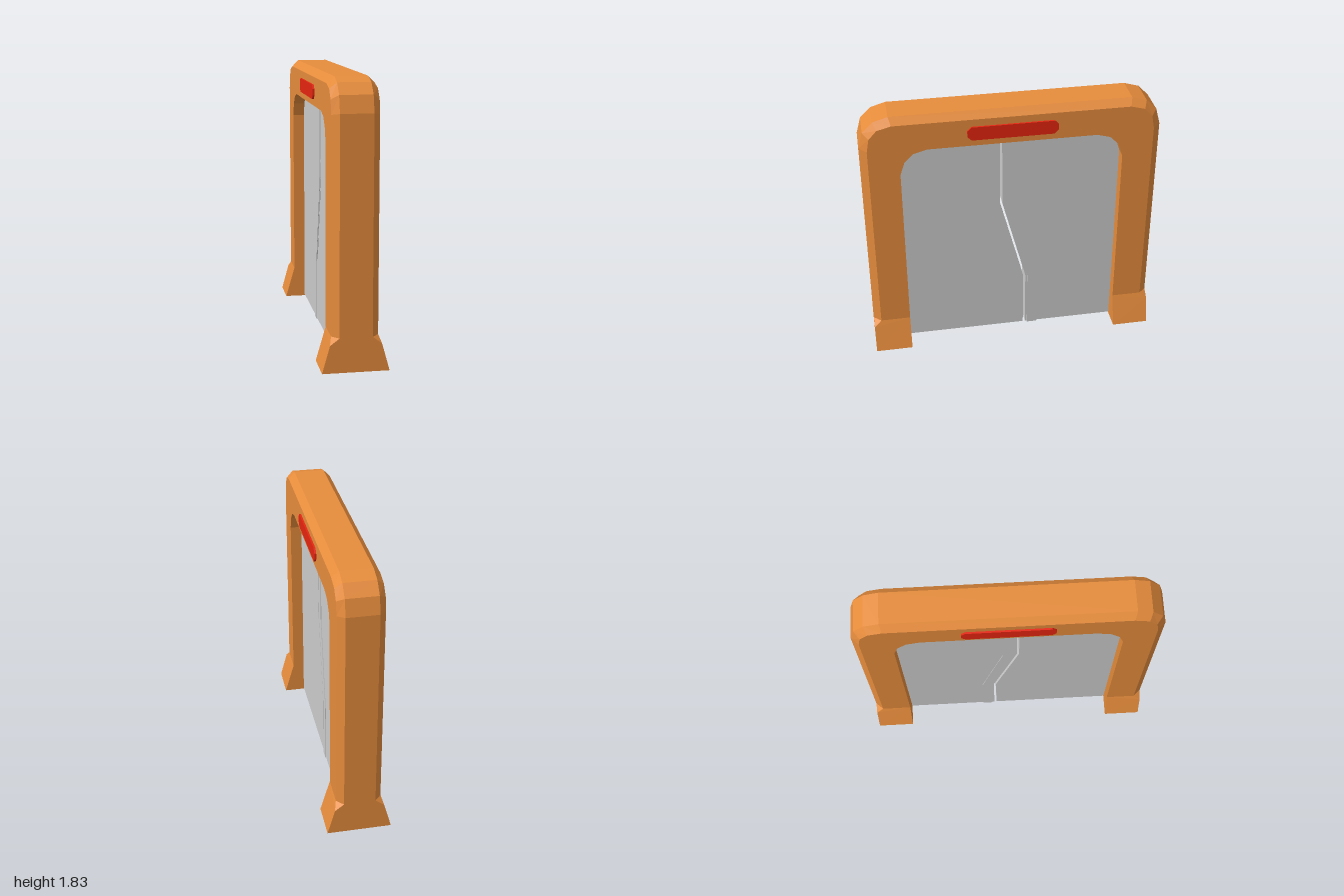
import * as THREE from 'three';

const material = (color) =>
  new THREE.MeshStandardMaterial({ color, flatShading: true, side: THREE.DoubleSide });

// Skin a list of equal-length cross-sections (arrays of [x, y, z]), skipping collapsed triangles
function loft(rows, closed) {
  const pos = [];
  const tri = (...points) => {
    const [a, b, c] = points.map((p) => new THREE.Vector3(...p));
    if (b.clone().sub(a).cross(c.clone().sub(a)).length() > 1e-7) pos.push(...points.flat());
  };
  const n = rows[0].length;
  for (let i = 0; i < rows.length - 1; i++) {
    for (let j = 0; j < (closed ? n : n - 1); j++) {
      const k = (j + 1) % n;
      tri(rows[i][j], rows[i + 1][j], rows[i][k]);
      tri(rows[i][k], rows[i + 1][j], rows[i + 1][k]);
    }
  }
  const geometry = new THREE.BufferGeometry();
  geometry.setAttribute('position', new THREE.Float32BufferAttribute(pos, 3));
  geometry.computeVertexNormals();
  return geometry;
}

export function createModel() {
  const group = new THREE.Group();
  const orange = material(0xe68c3c);
  const grey = material(0xcccccc);
  const red = material(0xe62510);
  const add = (name, geometry, mat) => {
    const mesh = new THREE.Mesh(geometry, mat);
    mesh.name = name;
    group.add(mesh);
    return mesh;
  };

  // Frame: each section holds the inner corner, bevel start and bevel end as [x, y, z]
  const half = [
    [[0.215, 0, 0.745], [0.215, 0, 1], [0.215, 0, 1]], // flared foot
    [[0.15, 0.225, 0.745], [0.165, 0.18, 1], [0.165, 0.18, 1]],
    [[0.15, 0.225, 0.745], [0.15, 0.225, 0.95], [0.105, 0.225, 1]], // post
    [[0.15, 1.42, 0.745], [0.15, 1.61, 0.95], [0.105, 1.62, 1]],
    [[0.15, 1.51, 0.715], [0.15, 1.7, 0.933], [0.105, 1.73, 0.97]], // rounded corner
    [[0.15, 1.57, 0.655], [0.15, 1.76, 0.88], [0.105, 1.8, 0.9]],
    [[0.15, 1.595, 0.565], [0.15, 1.785, 0.785], [0.105, 1.83, 0.8]],
  ].map((s) => [...s, ...s.map(([x, y, z]) => [-x, y, z]).reverse()]);
  const mirrored = half.map((s) => s.map(([x, y, z]) => [x, y, -z])).reverse();
  add('frame', loft([...half, ...mirrored], true), orange);

  // Door panels: hollow, open below and at the ends inside the posts, meeting at a bent seam
  const seam = [[0.01, -0.098], [0.435, -0.098], [1.07, 0.067], [1.66, 0.067]];
  const t = 0.07;
  for (const side of [1, -1]) {
    const rows = seam.map(([y, z]) => {
      const edge = z + side * 0.008;
      const outer = side * 0.82;
      const loop = [[t, y, outer], [t, y, edge], [-t, y, edge], [-t, y, outer]];
      return side > 0 ? loop.reverse() : loop;
    });
    add(side > 0 ? 'leftDoorPanel' : 'rightDoorPanel', loft(rows, false), grey);
  }

  // Raised trim strip following the seam on the right panel
  const trim = seam.map(([y, z], i) => {
    const a = z - (i < 2 ? 0.022 : 0.03);
    const b = z - (i < 2 ? 0.092 : 0.102);
    const x = t + 0.004;
    const h = i === 0 ? 0.003 : y;
    return [[x, h, b], [x, h, a], [-x, h, a], [-x, h, b]];
  });
  add('seamTrim', loft(trim, true), grey);

  // Signal lamps on both faces of the lintel
  const lamp = new THREE.Shape();
  const w = 0.3, h = 0.0475, c = 0.027;
  lamp.setFromPoints([
    [w, -h + c], [w, h - c], [w - c, h], [c - w, h],
    [-w, h - c], [-w, c - h], [c - w, -h], [w - c, -h],
  ].map(([u, v]) => new THREE.Vector2(u, v)));
  for (const side of [1, -1]) {
    const mesh = add(side > 0 ? 'leftLamp' : 'rightLamp',
      new THREE.ExtrudeGeometry(lamp, { depth: 0.022, bevelEnabled: false }), red);
    mesh.rotation.y = side * Math.PI / 2;
    mesh.position.set(side * 0.14, 1.687, 0);
  }
  return group;
}
